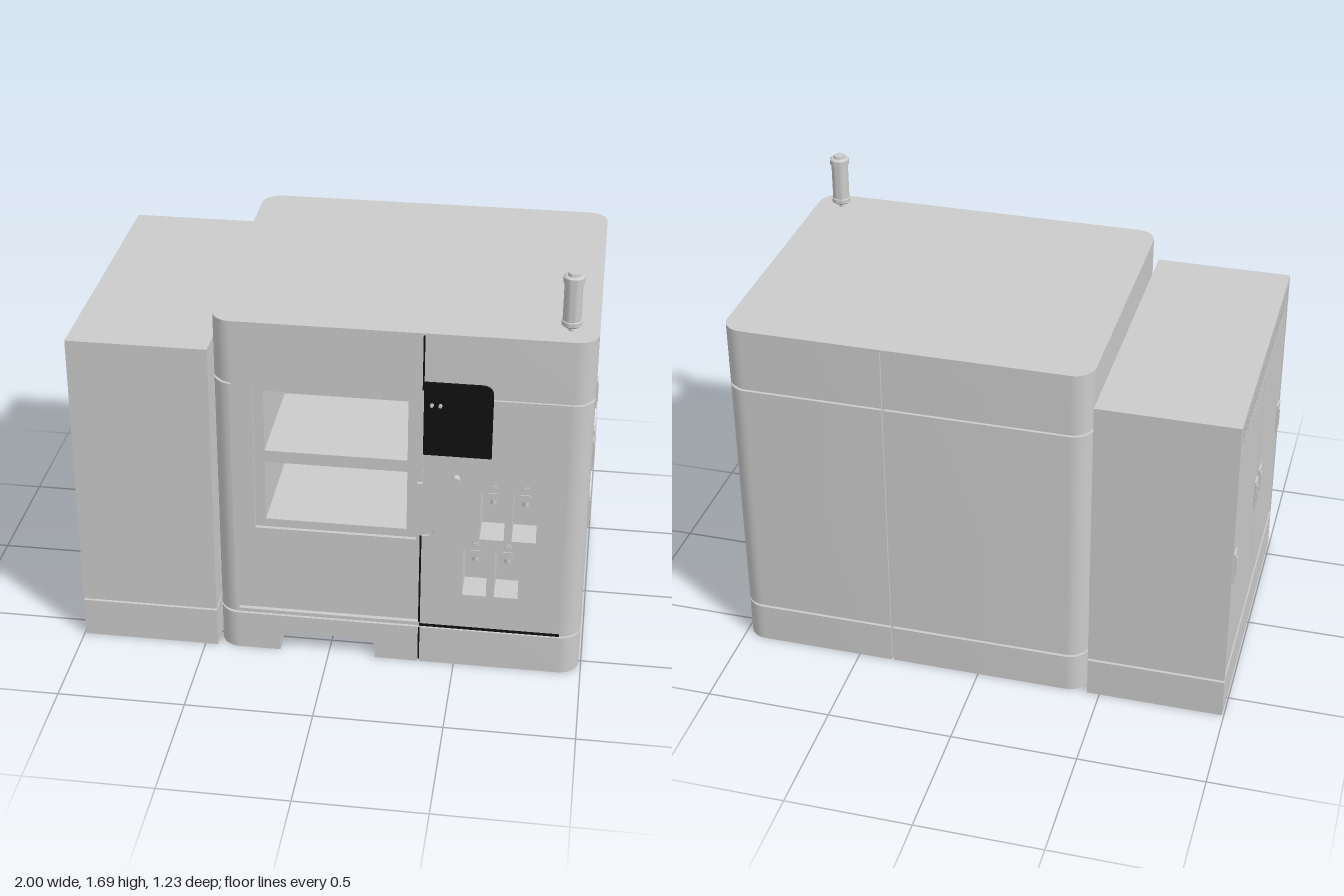
import * as THREE from 'three';
import { toCreasedNormals } from 'three/addons/utils/BufferGeometryUtils.js';

const grey = new THREE.MeshStandardMaterial({ color: 0xcccccc, side: THREE.DoubleSide });
const black = new THREE.MeshStandardMaterial({ color: 0x111111 });
const X0 = -0.44, X1 = 0.99, Z0 = -0.61, Z1 = 0.59, R = 0.08, T = 0.02;
const clamp = THREE.MathUtils.clamp;

export function createModel() {
  const model = new THREE.Group();

  function add(name, geo, mat = grey, parent = model) {
    const mesh = new THREE.Mesh(geo, mat);
    mesh.name = name;
    parent.add(mesh);
    return mesh;
  }
  // box given by its limits
  function box(name, x0, x1, y0, y1, z0, z1, mat, parent) {
    const g = new THREE.BoxGeometry(x1 - x0, y1 - y0, z1 - z0);
    g.translate((x0 + x1) / 2, (y0 + y1) / 2, (z0 + z1) / 2);
    return add(name, g, mat, parent);
  }
  // box without its front face, for recesses
  function tray(name, x0, x1, y0, y1, z0, z1) {
    const g = new THREE.BoxGeometry(x1 - x0, y1 - y0, z1 - z0);
    const idx = Array.from(g.index.array);
    idx.splice(24, 6);
    g.setIndex(idx);
    g.clearGroups();
    g.translate((x0 + x1) / 2, (y0 + y1) / 2, (z0 + z1) / 2);
    return add(name, g);
  }
  const rect = (x0, x1, y0, y1, C = THREE.Shape) => new C([[x0, y0], [x1, y0], [x1, y1], [x0, y1]].map(p => new THREE.Vector2(...p)));
  const extrude = (shape, depth) => new THREE.ExtrudeGeometry(shape, { depth, bevelEnabled: false, curveSegments: 8 });
  // upright panel whose front is at z
  function panel(name, shape, z, depth, mat) {
    return add(name, extrude(shape, depth).translate(0, 0, z - depth), mat);
  }

  // plan line of the rounded cabinet, inset by d; corners: 0 front left, 1 back left, 2 back right, 3 front right
  function planLine(start, corners, end, d) {
    const edge = ([x, z]) => new THREE.Vector2(clamp(x, X0 + d, X1 - d), -clamp(z, Z0 + d, Z1 - d));
    const pts = start ? [edge(start)] : [];
    for (const k of corners) {
      const cx = k < 2 ? X1 - R : X0 + R, cy = k === 1 || k === 2 ? -Z0 - R : -Z1 + R;
      for (let i = 0; i <= 10; i++) {
        const a = (k - 1 + i / 10) * Math.PI / 2;
        pts.push(new THREE.Vector2(cx + (R - d) * Math.cos(a), cy + (R - d) * Math.sin(a)));
      }
    }
    if (end) pts.push(edge(end));
    return pts;
  }
  function rise(name, shape, y0, y1) {
    const g = extrude(shape, y1 - y0).rotateX(-Math.PI / 2).translate(0, y0, 0);
    return add(name, toCreasedNormals(g, 0.5));
  }
  function wall(name, start, corners, end, y0, y1, d = 0, t = T) {
    const outer = planLine(start, corners, end, d), inner = planLine(start, corners, end, d + t).reverse();
    return rise(name, new THREE.Shape(outer.concat(inner)), y0, y1);
  }

  // main cabinet: base, body and top tiers, split by seams
  wall('baseLeftWall', [0.363, Z1], [0, 1], [0.363, Z0], 0, 0.163);
  wall('baseRightWall', [0.355, Z0], [2, 3], [-0.25, Z1], 0, 0.163);
  wall('frontLeftPost', [0.91, Z1], [0], [X1, 0.517], 0.173, 1.193);
  wall('backLeftWall', [X1, -0.533], [1], [0.363, Z0], 0.173, 1.193);
  wall('backRightWall', [0.355, Z0], [2, 3], [-0.37, Z1], 0.173, 1.193);
  wall('topFrontLeftWall', [0.363, Z1], [0], [X1, 0.52], 1.205, 1.446);
  wall('topBackLeftWall', [X1, -0.52], [1], [0.363, Z0], 1.205, 1.446);
  wall('topRightWall', [0.355, Z0], [2, 3], [0.355, Z1], 1.205, 1.446);
  rise('roof', new THREE.Shape(planLine(null, [0, 1, 2, 3], null, 0)), 1.446, 1.455);
  for (const [y0, y1] of [[0.155, 0.178], [1.188, 1.212]])
    wall('seamLiner', [0.36, Z1], [0, 1, 2, 3], [0.3599, Z1], y0, y1, 0.012, 0.03);
  box('backSeamLiner', 0.34, 0.38, 0, 1.45, Z0 + 0.012, Z0 + 0.024);
  box('baseSeamLiner', 0.34, 0.38, 0, 0.165, Z1 - 0.026, Z1 - 0.014, black);
  box('topSeamLiner', 0.34, 0.38, 1.2, 1.45, Z1 - 0.026, Z1 - 0.014, black);

  // base front with the arched notch
  function arch(C, x0, x1, h, r) {
    const s = new C();
    s.moveTo(x0, 0);
    s.lineTo(x0, h - r);
    s.quadraticCurveTo(x0, h, x0 + r, h);
    s.lineTo(x1 - r, h);
    s.quadraticCurveTo(x1, h, x1, h - r);
    s.lineTo(x1, 0);
    return s.getPoints(8);
  }
  const notch = arch(THREE.Shape, -0.195, 0.185, 0.085, 0.045);
  const v = (x, y) => new THREE.Vector2(x, y);
  panel('baseFront', new THREE.Shape([v(-0.25, 0), ...notch, v(0.355, 0), v(0.355, 0.163), v(-0.25, 0.163)]), Z1, T);
  panel('notchLining', new THREE.Shape(notch.concat(arch(THREE.Shape, -0.203, 0.193, 0.093, 0.05).reverse())), Z1 - 0.002, 0.07);

  // recessed front door with two deep windows
  const door = rect(-0.375, 0.357, 0.173, 1.195);
  door.holes.push(rect(-0.29, 0.34, 0.55, 1.18, THREE.Path));
  panel('frontDoor', door, 0.56, 0.02);
  const frame = rect(-0.295, 0.345, 0.545, 1.185);
  for (const [y0, y1] of [[0.585, 0.84], [0.89, 1.15]]) {
    frame.holes.push(rect(-0.25, 0.30, y0, y1, THREE.Path));
    tray('windowRecess', -0.25, 0.30, y0, y1, 0.08, 0.53);
  }
  panel('windowFrame', frame, 0.545, 0.02);

  // control panel with a notch for the door grip, and four pockets
  const control = new THREE.Shape();
  control.moveTo(0.363, 0.18);
  control.lineTo(0.91, 0.18);
  control.lineTo(0.91, 1.193);
  control.lineTo(0.363, 1.193);
  control.lineTo(0.363, 0.8);
  control.lineTo(0.38, 0.8);
  control.quadraticCurveTo(0.412, 0.8, 0.412, 0.765);
  control.lineTo(0.412, 0.625);
  control.quadraticCurveTo(0.412, 0.585, 0.363, 0.585);
  for (const [x, y] of [[0.585, 0.59], [0.707, 0.59], [0.525, 0.33], [0.648, 0.33]]) {
    control.holes.push(rect(x, x + 0.093, y, y + 0.21, THREE.Path));
    tray('pocket', x, x + 0.093, y, y + 0.21, 0.46, 0.582);
    const c = x + 0.047;
    box('spout', c - 0.02, c + 0.02, y + 0.175, y + 0.205, 0.53, 0.583);
    add('spoutNozzle', new THREE.CylinderGeometry(0.012, 0.012, 0.03, 16).translate(c, y + 0.165, 0.56));
    add('spoutKnob', new THREE.CylinderGeometry(0.014, 0.014, 0.012, 16).rotateX(Math.PI / 2).translate(c, y + 0.228, 0.587));
    const lever = box('spoutLever', -0.004, 0.004, 0, 0.022, 0.583, 0.592);
    lever.position.set(c, y + 0.225, 0);
    lever.rotation.z = -0.4;
  }
  panel('controlPanel', control, 0.587, 0.02);
  box('doorGrip', 0.34, 0.42, 0.575, 0.81, 0.56, 0.575);
  box('doorGap', 0.355, 0.364, 0.178, 0.58, 0.55, 0.578, black);
  box('sillStrip', 0.36, 0.91, 0.165, 0.18, 0.55, 0.584, black);

  // screen and button
  const screen = new THREE.Shape();
  screen.moveTo(0.363, 0.953);
  screen.lineTo(0.62, 0.953);
  screen.lineTo(0.62, 1.215);
  screen.quadraticCurveTo(0.62, 1.258, 0.575, 1.258);
  screen.lineTo(0.363, 1.258);
  panel('screen', screen, 0.6, 0.015, black);
  for (const x of [0.393, 0.425])
    add('screenKey', new THREE.CylinderGeometry(0.007, 0.007, 0.014, 16).rotateX(Math.PI / 2).translate(x, 1.167, 0.602));
  add('button', new THREE.CylinderGeometry(0.015, 0.015, 0.03, 20).rotateX(Math.PI / 2).translate(0.49, 0.853, 0.6));

  // side with two doors, handles and a vent; local x runs along the side, local z outward
  function serviceSide(name, u0, u1, mid, vent, handles) {
    const g = new THREE.Group();
    g.name = name;
    model.add(g);
    box('doorBacking', u0 - 0.012, u1 + 0.012, 0.165, vent.y0 + 0.005, -0.028, -0.014, grey, g);
    box('doorA', u0, mid - 0.005, 0.185, vent.y0 - 0.012, -0.014, -0.002, grey, g);
    box('doorB', mid + 0.005, u1, 0.185, vent.y0 - 0.012, -0.014, -0.002, grey, g);
    // vent panel with slots
    const s = rect(vent.u0, vent.u1, vent.y0, vent.y1);
    const n = 38, pitch = (vent.s1 - vent.s0) / n;
    for (let i = 0; i < n; i++) {
      const u = vent.s0 + i * pitch;
      s.holes.push(rect(u + pitch * 0.2, u + pitch * 0.8, vent.h0, vent.h1, THREE.Path));
    }
    add('vent', extrude(s, 0.015).translate(0, 0, -0.015), grey, g);
    box('ventBacking', vent.u0, vent.u1, vent.y0, vent.y1, -0.028, -0.02, grey, g);
    // handles: raised rim with a grip inside
    for (const u of handles) {
      const rim = rect(u - 0.026, u + 0.026, 0.625, 0.755);
      rim.holes.push(rect(u - 0.016, u + 0.016, 0.64, 0.74, THREE.Path));
      add('handleRim', extrude(rim, 0.008).translate(0, 0, -0.002), grey, g);
      box('handleGrip', u - 0.009, u + 0.012, 0.65, 0.73, -0.002, 0.009, grey, g);
    }
    return g;
  }
  const left = serviceSide('leftServiceSide', -0.511, 0.526, 0.007,
    { u0: -0.52, u1: 0.52, y0: 1.205, y1: 1.446, s0: -0.515, s1: 0.515, h0: 1.222, h1: 1.44 },
    [-0.468, -0.037, 0.05, 0.48]);
  left.position.x = X1;
  left.rotation.y = Math.PI / 2;

  // side cabinet, open below
  const A0 = -0.993, A1 = -0.45, H = 1.33;
  const right = serviceSide('rightServiceSide', -0.588, 0.568, -0.01,
    { u0: Z0 + T, u1: Z1 - T, y0: 1.205, y1: H - 0.01, s0: -0.585, s1: 0.565, h0: 1.222, h1: 1.308 },
    [-0.555, -0.058, 0.034, 0.53]);
  right.position.x = A0;
  right.rotation.y = -Math.PI / 2;
  for (const [y0, y1] of [[0, 0.163], [0.173, H - 0.01]]) {
    box('cabinetFront', A0, A1, y0, y1, Z1 - T, Z1);
    box('cabinetBack', A0, A1, y0, y1, Z0, Z0 + T);
    box('cabinetInnerWall', A1 - T, A1, y0, y1, Z0 + T, Z1 - T);
  }
  box('cabinetBaseSide', A0, A0 + T, 0, 0.163, Z0 + T, Z1 - T);
  box('cabinetRoof', A0, A1, H - 0.01, H, Z0, Z1);
  for (const z of [Z0 + 0.012, Z1 - 0.026])
    box('cabinetSeamLiner', A0 + 0.012, A1 - 0.012, 0.155, 0.18, z, z + 0.014);
  box('cabinetSideLiner', A0 + 0.012, A0 + 0.026, 0.155, 0.18, Z0 + 0.012, Z1 - 0.012);

  // signal lamp on the roof
  const profile = [[0, 1.45], [0.01, 1.45], [0.01, 1.475], [0.03, 1.475], [0.038, 1.482], [0.038, 1.498], [0.034, 1.5],
    [0.034, 1.648], [0.039, 1.65], [0.039, 1.672], [0.03, 1.677], [0.024, 1.677], [0.022, 1.688], [0, 1.688]];
  const lamp = new THREE.LatheGeometry(profile.map(p => v(...p)), 28);
  add('signalLamp', toCreasedNormals(lamp, 0.5)).position.set(0.885, 0, 0.49);

  return model;
}
